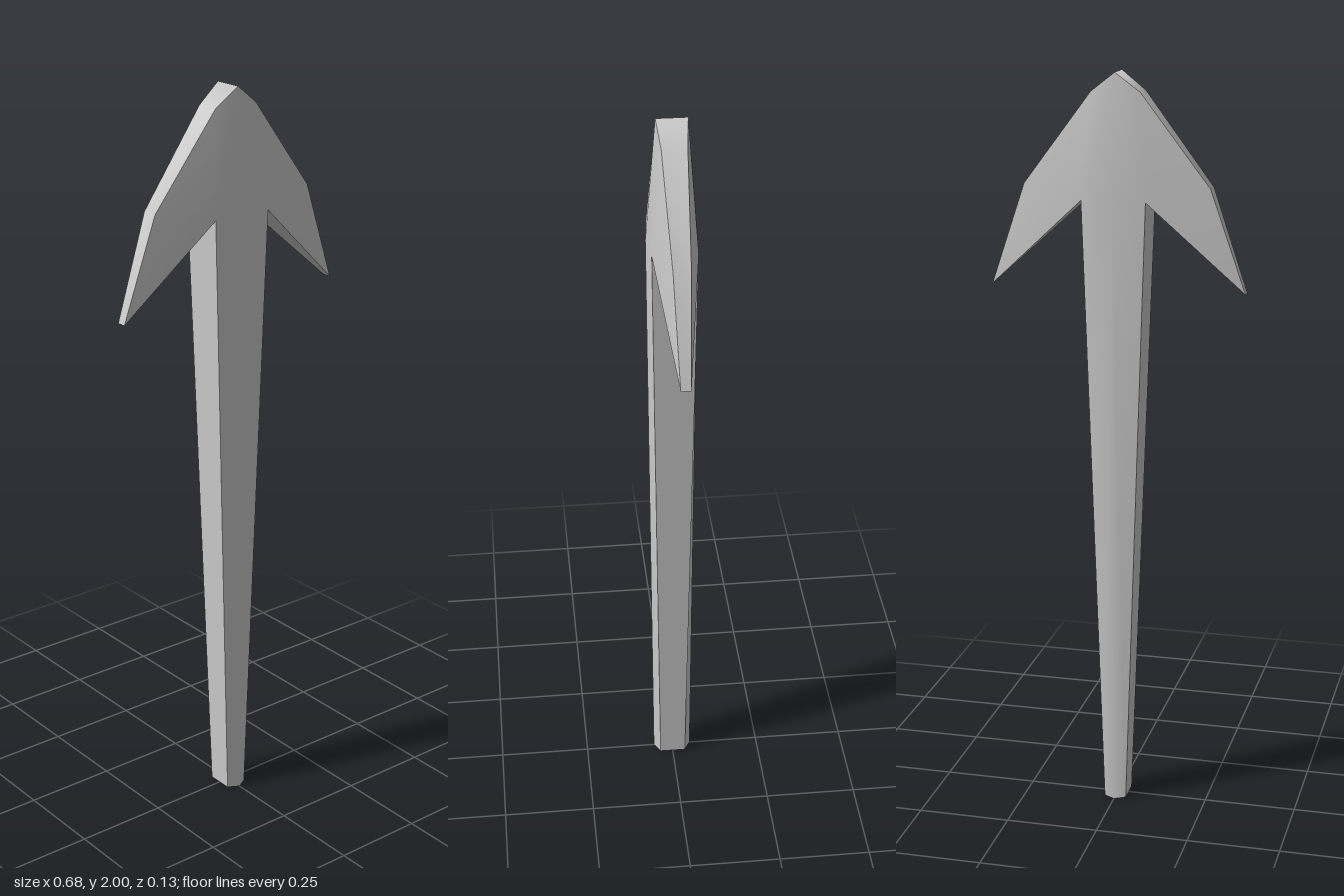
import * as THREE from 'three';
import { mergeVertices, toCreasedNormals } from 'three/addons/utils/BufferGeometryUtils.js';

// Right half of the arrow: [x, y, half thickness]
const P = {
  tip: [0, 2, 0.04],
  shoulder: [0.065, 1.95, 0.032],
  bend: [0.247, 1.71, 0.022],
  barb: [0.34, 1.44, 0.013],
  notch: [0.085, 1.675, 0.058],
  foot: [0.03, 0, 0.036],
  footRidge: [0, 0, 0.053],
  ridge: [0, 1.675, 0.066],
};

const at = ([x, y, t], sx, sz) => [x * sx, y, t * sz];

function geometryFrom(triangles) {
  const g = new THREE.BufferGeometry();
  g.setAttribute('position', new THREE.Float32BufferAttribute(triangles.flat(2), 3));
  return g;
}

// Keep triangles facing outwards when mirrored
const wind = (tri, flip) => (flip ? [tri[0], tri[2], tri[1]] : tri);

// Broad face with a soft centre ridge, sz = 1 front, -1 back
function faceGeometry(sz) {
  const { tip, shoulder, bend, barb, notch, foot, footRidge, ridge } = P;
  const half = [
    [tip, ridge, notch], [tip, notch, shoulder],
    [shoulder, notch, bend], [bend, notch, barb],
    [ridge, footRidge, foot], [ridge, foot, notch],
  ];
  const tris = [];
  for (const sx of [1, -1])
    for (const t of half) tris.push(wind(t.map((p) => at(p, sx, sz)), sx * sz < 0));
  const g = mergeVertices(geometryFrom(tris), 1e-4);
  g.computeVertexNormals();
  return g;
}

// Narrow band joining the two faces all around the outline
function rimGeometry() {
  const { tip, shoulder, bend, barb, notch, foot, footRidge } = P;
  const outline = [tip, shoulder, bend, barb, notch, foot, footRidge];
  const tris = [];
  for (const sx of [1, -1])
    for (let i = 0; i < outline.length - 1; i++) {
      const [a, b] = [outline[i], outline[i + 1]];
      const [af, bf, bb, ab] = [at(a, sx, 1), at(b, sx, 1), at(b, sx, -1), at(a, sx, -1)];
      tris.push(wind([af, bf, bb], sx < 0), wind([af, bb, ab], sx < 0));
    }
  return toCreasedNormals(geometryFrom(tris), 1.35);
}

export function createModel() {
  const group = new THREE.Group();
  group.name = 'arrow';
  const material = new THREE.MeshStandardMaterial({ color: 0xcccccc });
  const add = (name, geometry) => {
    const mesh = new THREE.Mesh(geometry, material);
    mesh.name = name;
    group.add(mesh);
  };
  add('frontFace', faceGeometry(1));
  add('backFace', faceGeometry(-1));
  add('rim', rimGeometry());
  return group;
}
